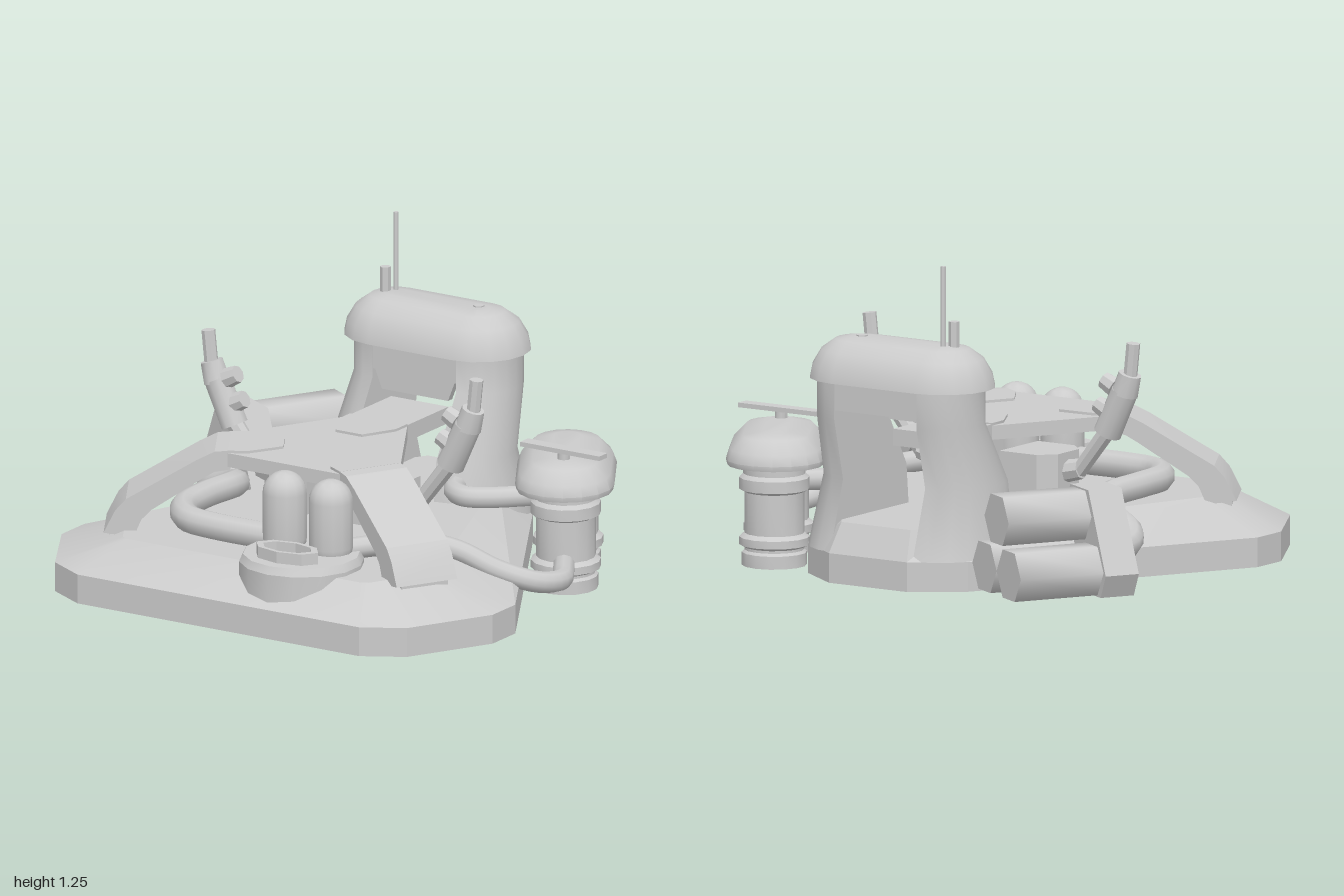
import * as THREE from 'three';
import { toCreasedNormals } from 'three/addons/utils/BufferGeometryUtils.js';

const V = (x, y, z) => new THREE.Vector3(x, y, z);
const CX = 0.02; // symmetry axis of the hull

export function createModel() {
  const root = new THREE.Group();
  const mat = new THREE.MeshStandardMaterial({ color: 0xcccccc, side: THREE.DoubleSide });

  function add(name, geo, pos = [0, 0, 0], parent = root, crease = 0.7) {
    const m = new THREE.Mesh(toCreasedNormals(geo, crease), mat);
    m.name = name;
    m.position.set(...pos);
    parent.add(m);
    return m;
  }
  function group(name, pos, rotY = 0) {
    const g = new THREE.Group();
    g.name = name;
    g.position.set(...pos);
    g.rotation.y = rotY;
    root.add(g);
    return g;
  }
  // Skin through rings of equal point count, with optional end caps
  function loft(rings, capStart, capEnd) {
    const n = rings[0].length, p = [], idx = [];
    rings.forEach(r => r.forEach(v => p.push(v.x, v.y, v.z)));
    for (let i = 0; i < rings.length - 1; i++)
      for (let j = 0; j < n; j++) {
        const a = i * n + j, b = i * n + (j + 1) % n;
        idx.push(a, a + n, b, b, a + n, b + n);
      }
    const cap = (s, flip) => {
      for (let j = 1; j < n - 1; j++) idx.push(s, s + (flip ? j : j + 1), s + (flip ? j + 1 : j));
    };
    if (capStart) cap(0, true);
    if (capEnd) cap((rings.length - 1) * n, false);
    const g = new THREE.BufferGeometry();
    g.setAttribute('position', new THREE.Float32BufferAttribute(p, 3));
    g.setIndex(idx);
    g.computeVertexNormals();
    return g;
  }
  // Rounded-end oval lying along x
  function oval(half, r, y, seg = 8) {
    const out = [];
    for (const s of [1, -1])
      for (let i = 0; i <= seg; i++) {
        const a = Math.PI / 2 - Math.PI * i / seg;
        out.push(V(s * (half + r * Math.cos(a)), y, s * r * Math.sin(a)));
      }
    return out;
  }
  const polygon = pts => new THREE.Shape(pts.map(p => new THREE.Vector2(...p)));
  const extrude = (pts, depth) => new THREE.ExtrudeGeometry(polygon(pts), { depth, bevelEnabled: false });
  // Flat plate from an x/z outline, its top at y = 0
  const plate = (pts, t) => extrude(pts, t).rotateX(Math.PI / 2);
  function rod(name, a, b, r0, r1 = r0, sides = 10, parent = root) {
    const d = b.clone().sub(a);
    const m = add(name, new THREE.CylinderGeometry(r1, r0, d.length(), sides), a.clone().lerp(b, 0.5).toArray(), parent);
    m.quaternion.setFromUnitVectors(V(0, 1, 0), d.normalize());
  }
  const pipe = (name, pts, r) => add(name, new THREE.TubeGeometry(
    new THREE.CatmullRomCurve3(pts.map(p => V(...p)), false, 'centripetal'), 36, r, 10));

  // Hull: open-bottomed shell with sloping deck
  const hullRing = (half, y) => [...half.map(([x, z]) => V(CX - x, y, z)),
    ...half.slice().reverse().map(([x, z]) => V(CX + x, y, z))];
  const edge = [[0.64, 0.925], [0.80, 0.835], [0.98, 0.51], [0.98, 0.35], [0.37, -0.72], [0.18, -0.855]];
  const deck = [[0.53, 0.745], [0.56, 0.73], [0.67, 0.53], [0.67, 0.42], [0.25, -0.66], [0.16, -0.8]];
  add('hull', loft([hullRing(edge, 0.015), hullRing(edge, 0.13), hullRing(deck, 0.245)], false, true), [0, 0, 0], root, 0.3);

  // Three-armed roof frame
  const hub = [CX, 0, 0.165];
  const corners = [], arms = [[-30, 'frontLeftArm'], [-150, 'frontRightArm'], [90, 'backArm']];
  for (const [deg] of [arms[2], arms[0], arms[1]]) {
    const t = -deg * Math.PI / 180;
    for (const w of [-0.13, 0.13])
      corners.push([0.37 * Math.cos(t) - w * Math.sin(t), 0.37 * Math.sin(t) + w * Math.cos(t)]);
  }
  add('roofPlate', plate(corners, 0.055), [hub[0], 0.56, hub[2]]);
  const bent = [[0.36, 0.57], [0.42, 0.565], [0.49, 0.53], [0.76, 0.37], [0.80, 0.325], [0.845, 0.235],
    [0.73, 0.22], [0.70, 0.29], [0.66, 0.33], [0.47, 0.455], [0.42, 0.485], [0.36, 0.495]];
  const straight = [[0.36, 0.565], [0.66, 0.565], [0.66, 0.5], [0.36, 0.5]];
  for (const [deg, name] of arms) {
    const g = group(name, hub, deg * Math.PI / 180);
    const front = deg !== 90;
    add('arm', extrude(front ? bent : straight, 0.26).translate(0, 0, -0.13), [0, 0, 0], g, 0.3);
    add('armTile', plate([[0.16, -0.06], [0.29, -0.13], [0.37, -0.13], [0.37, 0.13], [0.29, 0.13], [0.16, 0.06]], 0.02), [0, 0.57, 0], g);
    if (front) add('armFoot', new THREE.BoxGeometry(0.11, 0.12, 0.2), [0.77, 0.18, 0], g);
  }

  // Tower: two leaning half-round pillars carrying a domed cabin
  const levels = [[0.13, -0.56, 0.27, 0.41], [0.40, -0.53, 0.215, 0.375], [0.64, -0.63, 0.175, 0.35], [0.79, -0.63, 0.175, 0.35]];
  for (const s of [1, -1]) {
    const rings = levels.map(([y, z, rz, out]) => {
      const r = [];
      for (let i = 0; i <= 10; i++) {
        const a = Math.PI / 2 - Math.PI * i / 10;
        r.push(V(CX + s * (0.19 + (out - 0.19) * Math.cos(a)), y, z + rz * Math.sin(a)));
      }
      return s > 0 ? r : r.reverse();
    });
    add(s > 0 ? 'leftPillar' : 'rightPillar', loft(rings, true, true));
  }
  add('cabinBand', new THREE.BoxGeometry(0.4, 0.12, 0.34), [CX, 0.735, -0.63]);
  add('visor', extrude([[-0.19, 0.7], [-0.15, 0.6], [0.15, 0.6], [0.19, 0.7]], 0.03), [CX, 0, -0.49]);
  const dome = [[0.2, 0.78], [0.19, 0.83], [0.155, 0.89], [0.1, 0.93], [0.04, 0.94]];
  add('cabinDome', loft(dome.map(([r, y]) => oval(0.19, r, y)), true, true), [CX, 0, -0.62]);
  rod('tallAntenna', V(-0.185, 0.9, -0.645), V(-0.185, 1.25, -0.645), 0.01, 0.01, 6);
  rod('shortAntenna', V(-0.215, 0.9, -0.615), V(-0.215, 1.035, -0.615), 0.021, 0.021, 6);
  rod('domeBolt', V(0.2, 0.9, -0.63), V(0.2, 0.945, -0.63), 0.022, 0.022, 6);

  // Twin side tanks under a shared oval lid
  const prof = [[0, 0], [0.125, 0], [0.125, 0.05], [0.115, 0.06], [0.115, 0.07], [0.135, 0.08], [0.135, 0.11],
    [0.115, 0.125], [0.115, 0.285], [0.135, 0.295], [0.135, 0.34], [0.12, 0.355], [0.12, 0.41]].map(p => new THREE.Vector2(...p));
  for (const [x, z] of [[0.64, -0.58], [0.80, -0.315]])
    add('sideTank', new THREE.LatheGeometry(prof, 14), [x, 0.003, z], root, 0.5);
  const lid = group('tankLid', [0.72, 0, -0.44], -1.03);
  const lidProf = [[0.185, 0.39], [0.19, 0.41], [0.175, 0.45], [0.125, 0.5], [0.05, 0.515]];
  add('lidShell', loft(lidProf.map(([r, y]) => oval(0.15, r, y)), true, true), [0, 0, 0], lid);
  rod('bladePost', V(0.8, 0.48, -0.3), V(0.8, 0.55, -0.3), 0.025);
  add('blade', new THREE.BoxGeometry(0.36, 0.018, 0.055), [0.8, 0.55, -0.3]);

  // Rear thruster cluster: wedge housing with three hexagonal barrels
  const thr = group('thruster', [-0.765, 0, -0.46], Math.PI - 0.53);
  const wedge = [[-0.19, 0.03], [0.19, 0.03], [0.235, 0.12], [0.08, 0.43], [-0.08, 0.43], [-0.235, 0.12]];
  add('housing', extrude(wedge, 0.14).translate(0, 0, -0.07), [0, 0, 0], thr, 0.3);
  const hex = new THREE.CylinderGeometry(0.108, 0.108, 0.4, 6).rotateX(Math.PI / 2).rotateZ(Math.PI / 6);
  for (const [x, y] of [[0, 0.33], [-0.108, 0.13], [0.108, 0.13]])
    add('barrel', hex, [x, y, 0.22], thr, 1.1);

  // Pipes
  pipe('thrusterPipe', [[0.1, 0.3, 0.575], [-0.22, 0.3, 0.575], [-0.36, 0.3, 0.545], [-0.46, 0.3, 0.42], [-0.48, 0.3, 0.25],
    [-0.48, 0.29, 0.05], [-0.54, 0.26, -0.06], [-0.7, 0.2, -0.14], [-0.76, 0.17, -0.24], [-0.77, 0.17, -0.42]], 0.053);
  pipe('tankPipe', [[0.8, 0.12, -0.3], [0.89, 0.12, -0.16], [0.95, 0.12, -0.04], [0.92, 0.14, 0.08], [0.8, 0.19, 0.17],
    [0.66, 0.26, 0.23], [0.54, 0.29, 0.3], [0.42, 0.29, 0.42], [0.33, 0.29, 0.56]], 0.042);
  pipe('towerPipe', [[0.26, 0.31, -0.42], [0.31, 0.31, -0.29], [0.39, 0.31, -0.245], [0.47, 0.31, -0.28], [0.62, 0.31, -0.42]], 0.042);

  // Front pod with two capsules
  add('podDrum', new THREE.CylinderGeometry(0.24, 0.24, 0.24, 14, 1, true), [0.225, 0.14, 0.655]);
  add('podTop', new THREE.CylinderGeometry(0.225, 0.24, 0.03, 14), [0.225, 0.275, 0.655]);
  const rim = [[0.78, 0.28], [1, 0.28], [1, 0.335], [0.78, 0.335], [0.78, 0.28]].map(([r, y]) => new THREE.Vector2(r * 0.14, y));
  add('podHatchRim', new THREE.LatheGeometry(rim, 8).scale(1, 1, 0.54), [0.225, 0, 0.755], root, 0.4);
  for (const x of [0.1, 0.31])
    add('capsule', new THREE.CapsuleGeometry(0.085, 0.18, 6, 14), [x, 0.4, 0.58]);

  // Side guns on chamfered mounting blocks
  const block = [[0.08, -0.13], [0.25, -0.13], [0.31, -0.07], [0.31, 0.07], [0.25, 0.13], [0.08, 0.13]];
  for (const s of [1, -1]) {
    const gun = group(s > 0 ? 'leftGun' : 'rightGun', [CX, 0, 0.05]);
    const P = (x, y) => V(s * x, y, 0);
    add('mountBlock', plate(block.map(([x, z]) => [s * x, z]), 0.17), [0, 0.44, 0], gun, 0.3);
    add('mountFoot', new THREE.CylinderGeometry(0.085, 0.085, 0.08, 8), [s * 0.21, 0.25, 0], gun);
    rod('gunArm', P(0.28, 0.36), P(0.37, 0.38), 0.045, 0.04, 8, gun);
    rod('gunNeck', P(0.36, 0.37), P(0.5, 0.55), 0.032, 0.035, 8, gun);
    rod('gunSleeve', P(0.49, 0.53), P(0.57, 0.7), 0.055, 0.053, 10, gun);
    rod('gunCollar', P(0.57, 0.69), P(0.595, 0.77), 0.053, 0.045, 10, gun);
    rod('gunBarrel', P(0.595, 0.75), P(0.61, 0.89), 0.027, 0.027, 8, gun);
    for (const [x, y] of [[0.47, 0.63], [0.5, 0.725]]) {
      rod('knobStem', P(x, y), P(x + 0.07, y - 0.03), 0.025, 0.025, 8, gun);
      rod('knob', P(x - 0.025, y + 0.01), P(x + 0.025, y - 0.015), 0.034, 0.04, 8, gun);
    }
  }
  return root;
}
